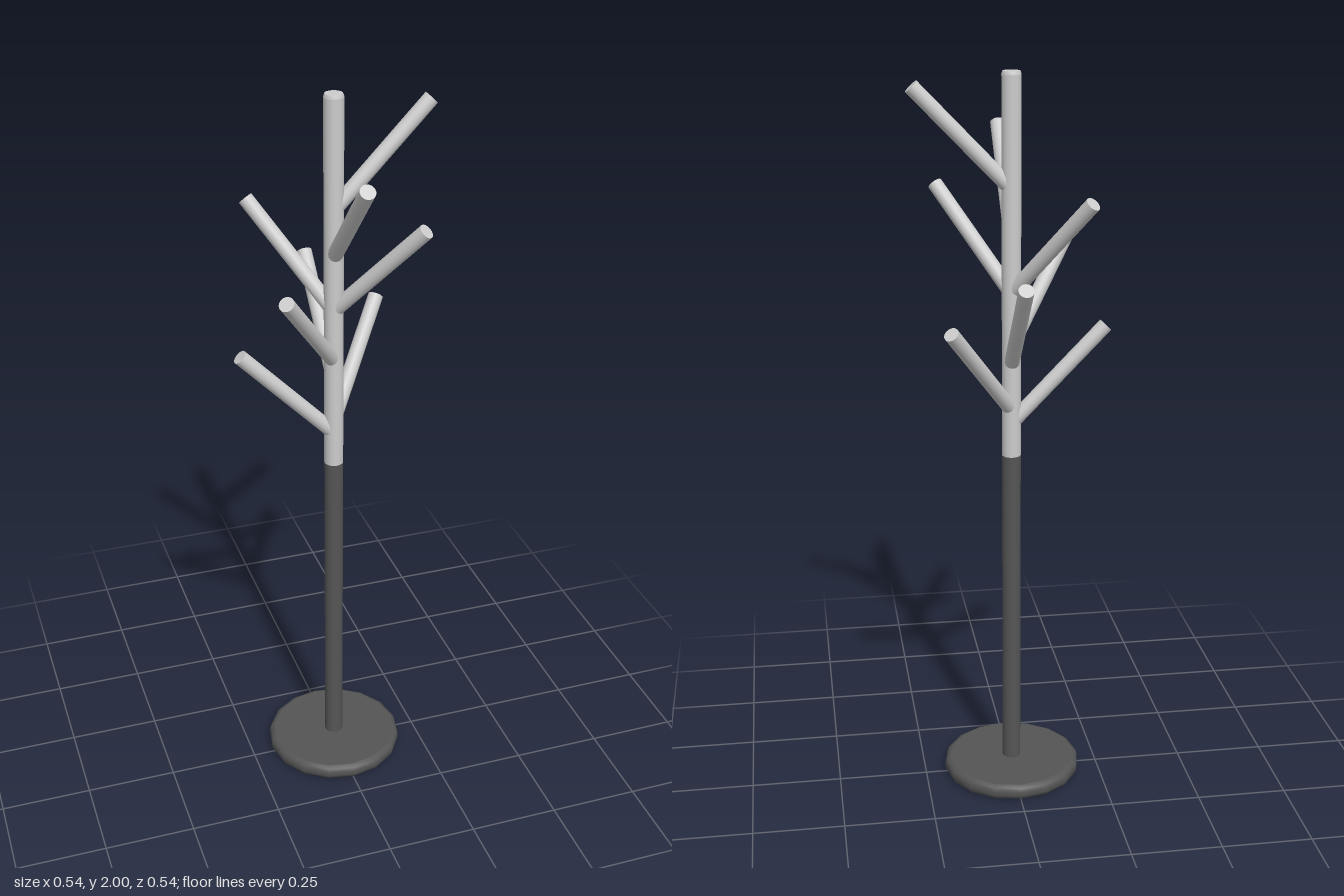
import * as THREE from 'three';

export function createModel() {
  const model = new THREE.Group();
  model.name = 'coatStand';
  const dark = new THREE.MeshStandardMaterial({ name: 'darkGrey', color: 0x555555 });
  const light = new THREE.MeshStandardMaterial({ name: 'lightGrey', color: 0xcccccc });

  const add = (name, geometry, material) => {
    const mesh = new THREE.Mesh(geometry, material);
    mesh.name = name;
    model.add(mesh);
    return mesh;
  };
  const lathe = (points, sides) =>
    new THREE.LatheGeometry(points.map(([r, y]) => new THREE.Vector2(r, y)), sides);

  // Round foot plate with a softened rim
  add('base', lathe([
    [0, 0], [0.178, 0], [0.18, 0], [0.19, 0.006], [0.194, 0.016],
    [0.194, 0.028], [0.19, 0.038], [0.18, 0.044], [0.178, 0.044], [0, 0.044],
  ], 16), dark);

  // Two-tone pole, slightly bevelled at the top
  const poleR = 0.026, split = 0.97;
  const lower = add('lowerPole', new THREE.CylinderGeometry(poleR, poleR, split - 0.04, 20), dark);
  lower.position.y = (split + 0.04) / 2;
  add('upperPole', lathe([
    [poleR, split], [poleR, 1.99], [poleR, 1.992], [0.0235, 1.9995], [0.023, 2], [0, 2],
  ], 20), light);

  // Eight hooks spiralling round the pole: [angle from +x towards +z in degrees, root height]
  const hooks = [
    [0, 1.7], [90, 1.572], [45, 1.423], [225, 1.423],
    [135, 1.278], [270, 1.225], [315, 1.1], [180, 1.062],
  ];
  const reach = 0.256, rise = 0.265, hookR = 0.0205;
  const length = Math.hypot(reach, rise);
  const hookGeometry = new THREE.CylinderGeometry(hookR, hookR, length, 16).translate(0, length / 2, 0);
  const up = new THREE.Vector3(0, 1, 0);
  hooks.forEach(([degrees, y], i) => {
    const a = THREE.MathUtils.degToRad(degrees);
    const direction = new THREE.Vector3(Math.cos(a) * reach, rise, Math.sin(a) * reach).normalize();
    const hook = add(`hook${i + 1}`, hookGeometry, light);
    hook.position.y = y;
    hook.quaternion.setFromUnitVectors(up, direction);
  });

  model.position.z = -0.002;
  return model;
}
